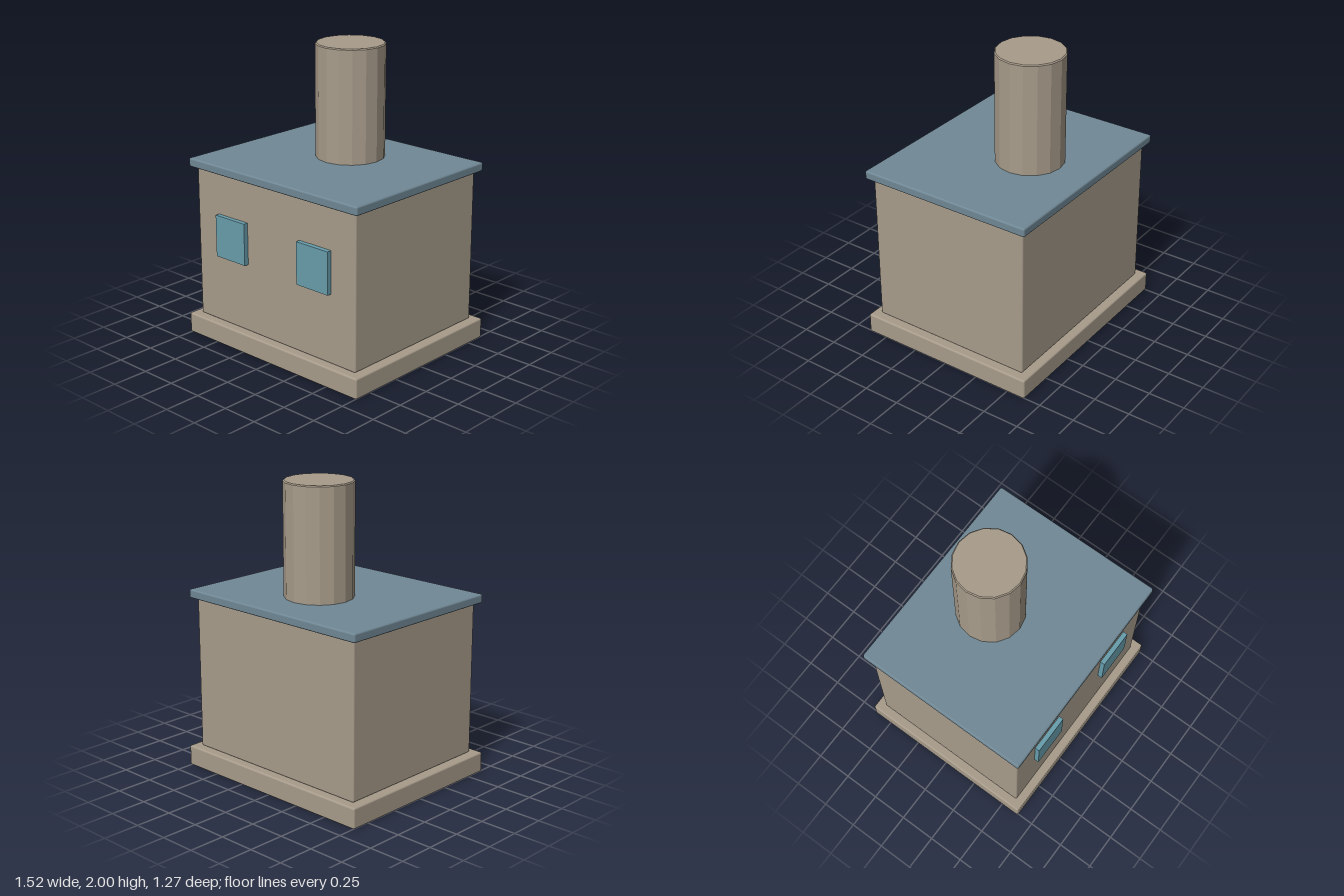
import * as THREE from 'three';
import { RoundedBoxGeometry } from 'three/addons/geometries/RoundedBoxGeometry.js';

export function createModel() {
  const group = new THREE.Group();
  const material = (name, color) => {
    const m = new THREE.MeshStandardMaterial({ color });
    m.name = name;
    return m;
  };
  const stone = material('stone', 0xa89c8b);
  const slate = material('slate', 0x708895);
  const glass = material('glass', 0x689dac);

  const add = (name, geometry, mat, x, y, z) => {
    const mesh = new THREE.Mesh(geometry, mat);
    mesh.name = name;
    mesh.position.set(x, y, z);
    group.add(mesh);
  };

  // Softly bevelled slab standing between two heights
  const slab = (name, mat, width, depth, y0, y1) =>
    add(name, new RoundedBoxGeometry(width, y1 - y0, depth, 2, 0.012), mat, 0, (y0 + y1) / 2, 0);

  slab('base', stone, 1.52, 1.27, 0, 0.14);
  slab('walls', stone, 1.4, 1.155, 0.14, 1.18);
  slab('roof', slate, 1.48, 1.23, 1.18, 1.24);

  // Sixteen-sided chimney with a fine bevel round the top, set into the roof
  const r = 0.23, bevel = 0.007;
  const profile = [[0, 1.2], [r, 1.2], [r, 2 - bevel], [r - bevel, 2], [0, 2]];
  const chimney = new THREE.LatheGeometry(profile.map(([x, y]) => new THREE.Vector2(x, y)), 16)
    .toNonIndexed();
  chimney.computeVertexNormals();
  add('chimney', chimney, stone, 0, 0, -0.147);

  // Pair of raised front windows
  for (const side of [-1, 1]) {
    add(side > 0 ? 'leftWindow' : 'rightWindow',
      new THREE.BoxGeometry(0.266, 0.286, 0.036), glass, side * 0.366, 0.754, 0.592);
  }

  return group;
}
